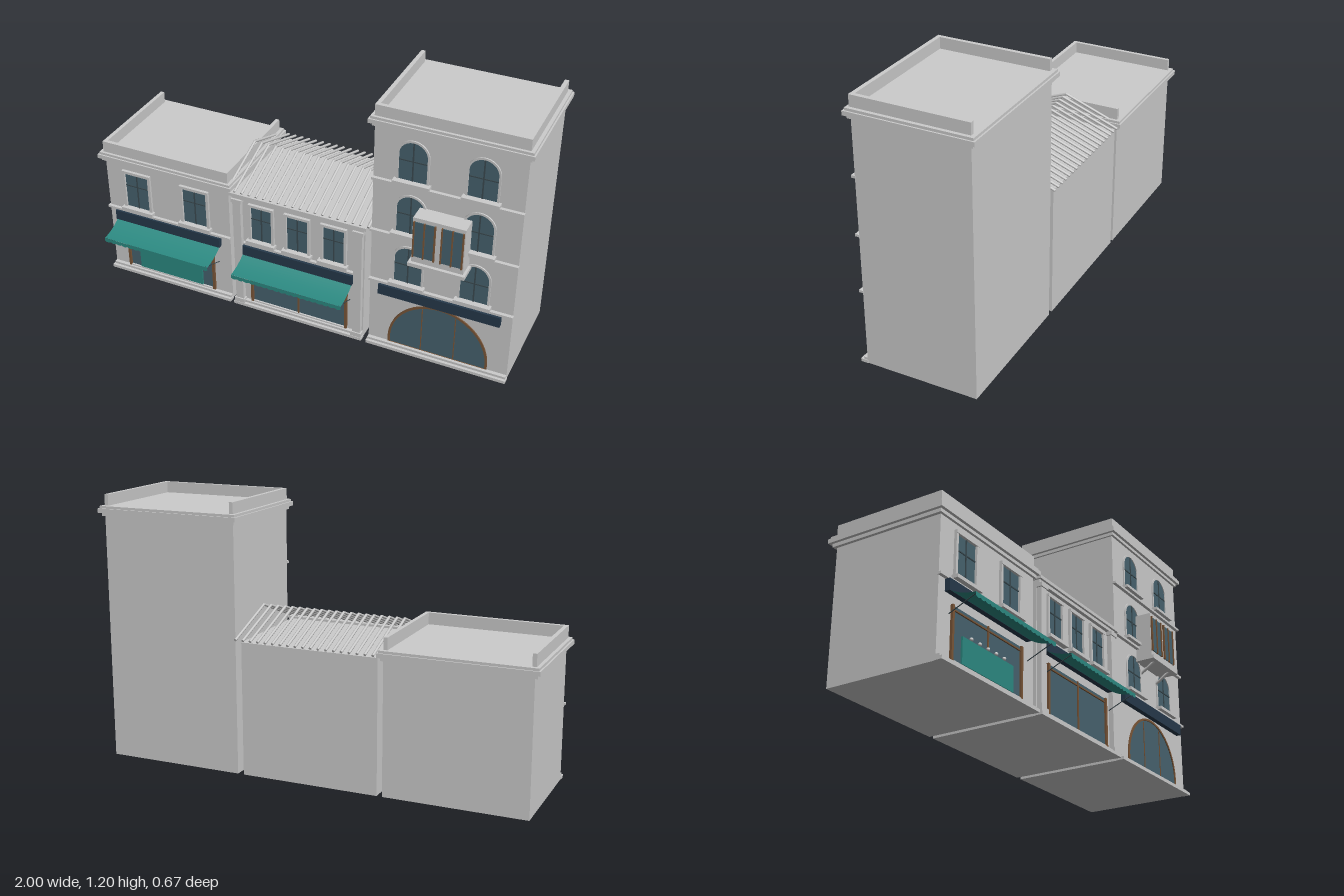
import * as THREE from 'three';

const mat = (color) => new THREE.MeshStandardMaterial({ color, side: THREE.DoubleSide });
const GREY = mat(0xcccccc), GLASS = mat(0x47636f), BAR = mat(0x3a4a50);
const NAVY = mat(0x26394b), TEAL = mat(0x2c8a82), WOOD = mat(0x7a5638);
const BACK = -0.31, WALL = 0.195;

function add(parent, name, geometry, material = GREY) {
  const m = new THREE.Mesh(geometry, material);
  m.name = name;
  parent.add(m);
  return m;
}

// Box given by its limits on each axis
function box(parent, name, x0, x1, y0, y1, z0, z1, material = GREY) {
  const m = add(parent, name, new THREE.BoxGeometry(x1 - x0, y1 - y0, z1 - z0), material);
  m.position.set((x0 + x1) / 2, (y0 + y1) / 2, (z0 + z1) / 2);
  return m;
}

// Round bar between two points
function rod(parent, name, a, b, r, material = GREY, sides = 8) {
  const dir = b.clone().sub(a);
  const m = add(parent, name, new THREE.CylinderGeometry(r, r, dir.length(), sides), material);
  m.position.copy(a).add(b).multiplyScalar(0.5);
  m.quaternion.setFromUnitVectors(new THREE.Vector3(0, 1, 0), dir.normalize());
}

function group(parent, name) {
  const g = new THREE.Group();
  g.name = name;
  parent.add(g);
  return g;
}

// Outline with a half-round top, standing on y0
function archOutline(Type, x, w, y0, spring) {
  const s = new Type();
  s.moveTo(x - w, y0);
  s.lineTo(x + w, y0);
  s.lineTo(x + w, spring);
  s.absarc(x, spring, w, 0, Math.PI, false);
  s.lineTo(x - w, y0);
  return s;
}

function extrude(shape, depth, z) {
  return new THREE.ExtrudeGeometry(shape, { depth, bevelEnabled: false, curveSegments: 20 }).translate(0, 0, z);
}

// Arched glazing with a surround of width t
function archWindow(parent, name, x, w, y0, spring, t, frameMat) {
  const g = group(parent, name);
  add(g, 'glass', extrude(archOutline(THREE.Shape, x, w, y0, spring), 0.003, WALL - 0.001), GLASS);
  const rim = archOutline(THREE.Shape, x, w + t, y0, spring);
  rim.holes.push(archOutline(THREE.Path, x, w, y0, spring));
  add(g, 'surround', extrude(rim, 0.007, WALL - 0.001), frameMat);
  return g;
}

// Rectangular window with surround, glazing bars and sill
function squareWindow(parent, x, w, y0, y1, t) {
  const g = group(parent, 'upperWindow');
  box(g, 'glass', x - w, x + w, y0, y1, WALL - 0.002, WALL + 0.002, GLASS);
  for (const s of [-1, 1]) {
    const c = x + s * (w + t / 2);
    box(g, 'jamb', c - t / 2, c + t / 2, y0, y1, WALL - 0.002, 0.207);
  }
  box(g, 'lintel', x - w - t, x + w + t, y1, y1 + t, WALL - 0.002, 0.209);
  box(g, 'sill', x - w - t - 0.008, x + w + t + 0.008, y0 - 0.015, y0, WALL - 0.002, 0.223);
  box(g, 'mullion', x - 0.003, x + 0.003, y0, y1, WALL, 0.2, BAR);
  box(g, 'transom', x - w, x + w, y0 + (y1 - y0) * 0.62, y0 + (y1 - y0) * 0.62 + 0.005, WALL, 0.2, BAR);
}

// Stepped cornice all round, parapet on the front and two sides
function crown(parent, x0, x1, y, top) {
  const tiers = [[0, 0.015, 0.009], [0.015, 0.034, 0.022], [0.034, 0.045, 0.015]];
  for (const [a, b, o] of tiers) box(parent, 'cornice', x0 - o, x1 + o, y + a, y + b, BACK - o - 0.003, WALL + o + 0.002);
  const base = y + 0.04, t = 0.018;
  box(parent, 'frontParapet', x0, x1, base, top, 0.2 - t, 0.2);
  box(parent, 'sideParapet', x0, x0 + t, base, top, BACK, 0.2 - t);
  box(parent, 'sideParapet', x1 - t, x1, base, top, BACK, 0.2 - t);
}

// Fabric canopy with a sagging top, scalloped valance and side arms
function awning(parent, x0, x1) {
  const g = group(parent, 'awning');
  const curve = new THREE.QuadraticBezierCurve3(
    new THREE.Vector3(0, 0.29, 0.215), new THREE.Vector3(0, 0.257, 0.265), new THREE.Vector3(0, 0.253, 0.331));
  const canopy = new THREE.PlaneGeometry(x1 - x0, 1, 1, 10);
  const p = canopy.attributes.position;
  for (let i = 0; i < p.count; i++) {
    const q = curve.getPoint(0.5 - p.getY(i));
    p.setXYZ(i, p.getX(i) + (x0 + x1) / 2, q.y, q.z);
  }
  canopy.computeVertexNormals();
  add(g, 'canopy', canopy, TEAL);
  const s = new THREE.Shape(), n = 18, step = (x1 - x0) / n;
  s.moveTo(x1, 0.253);
  s.lineTo(x0, 0.253);
  s.lineTo(x0, 0.238);
  for (let i = 0; i < n; i++) s.quadraticCurveTo(x0 + (i + 0.5) * step, 0.227, x0 + (i + 1) * step, 0.238);
  add(g, 'valance', new THREE.ShapeGeometry(s, 4).translate(0, 0, 0.332), TEAL);
  for (const x of [x0 + 0.01, x1 - 0.01])
    rod(g, 'arm', new THREE.Vector3(x, 0.253, 0.329), new THREE.Vector3(x, 0.2, 0.205), 0.002, BAR);
}

// Glazed shop front with wooden posts
function shopfront(parent, x0, x1) {
  const g = group(parent, 'shopfront'), y0 = 0.027, y1 = 0.25;
  box(g, 'shopGlass', x0, x1, y0, y1, WALL - 0.002, WALL + 0.002, GLASS);
  for (const x of [x0, x1]) box(g, 'post', x - 0.006, x + 0.006, y0, y1, WALL - 0.002, 0.206, WOOD);
  box(g, 'centrePost', (x0 + x1) / 2 - 0.003, (x0 + x1) / 2 + 0.003, y0, y1, WALL, 0.203, WOOD);
  box(g, 'head', x0, x1, 0.228, 0.234, WALL, 0.203, WOOD);
  box(g, 'threshold', x0, x1, y0, y0 + 0.006, WALL, 0.205);
}

// Walls, plinth, sign board and string course shared by the three houses
function house(parent, name, x0, x1, h, sx0, sx1) {
  const g = group(parent, name);
  box(g, 'walls', x0, x1, 0, h, BACK, WALL);
  box(g, 'plinth', x0 - 0.003, x1 + 0.003, 0, 0.014, WALL - 0.002, 0.225);
  box(g, 'plinthTop', x0, x1, 0.014, 0.025, WALL - 0.002, 0.212);
  box(g, 'signBoard', sx0, sx1, 0.287, 0.337, WALL - 0.002, 0.218, NAVY);
  return g;
}

export function createModel() {
  const model = new THREE.Group();
  model.name = 'shopRow';

  // Low house with flat roof
  const a = house(model, 'rightHouse', -0.975, -0.342, 0.61, -0.935, -0.39);
  box(a, 'stringCourse', -0.98, -0.34, 0.338, 0.348, WALL - 0.002, 0.21);
  crown(a, -0.98, -0.342, 0.592, 0.69);
  for (const x of [-0.815, -0.515]) squareWindow(a, x, 0.06, 0.37, 0.55, 0.013);
  shopfront(a, -0.89, -0.435);
  awning(a, -0.93, -0.39);
  box(a, 'counter', -0.83, -0.495, 0.035, 0.145, WALL, 0.205, TEAL);
  for (let i = 0; i < 5; i++) {
    const lamp = add(a, 'lamp', new THREE.SphereGeometry(0.008, 10, 8));
    lamp.position.set(-0.77 + i * 0.054, 0.155, 0.201);
  }

  // Middle house with pilasters and an open ribbed roof
  const b = house(model, 'middleHouse', -0.318, 0.312, 0.6, -0.27, 0.262);
  box(b, 'stringCourse', -0.27, 0.265, 0.34, 0.35, WALL - 0.002, 0.21);
  box(b, 'frieze', -0.318, 0.312, 0.58, 0.595, WALL - 0.002, 0.212);
  box(b, 'eaves', -0.325, 0.325, 0.595, 0.61, 0.18, 0.222);
  for (const x of [-0.293, 0.287]) {
    box(b, 'pilaster', x - 0.019, x + 0.019, 0.02, 0.58, WALL - 0.002, 0.217);
    box(b, 'capital', x - 0.025, x + 0.025, 0.562, 0.58, WALL - 0.002, 0.222);
    box(b, 'pilasterBase', x - 0.025, x + 0.025, 0.014, 0.035, WALL - 0.002, 0.223);
  }
  for (const x of [-0.18, -0.005, 0.168]) squareWindow(b, x, 0.05, 0.375, 0.55, 0.012);
  shopfront(b, -0.235, 0.23);
  awning(b, -0.27, 0.262);
  const roof = group(b, 'ribbedRoof');
  for (let i = 0; i < 20; i++) {
    const x = -0.338 + i * 0.0352, ridge = new THREE.Vector3(x, 0.713, -0.058);
    rod(roof, 'roofRib', new THREE.Vector3(x, 0.612, 0.212), ridge, 0.006);
    rod(roof, 'roofRib', new THREE.Vector3(x, 0.612, -0.328), ridge, 0.006);
  }

  // Tall house with arched windows
  const c = house(model, 'leftTower', 0.34, 0.977, 1.12, 0.385, 0.93);
  crown(c, 0.34, 0.977, 1.105, 1.2);
  for (let f = 0; f < 3; f++) {
    const y = 0.37 + f * 0.257;
    box(c, 'stringCourse', 0.337, 0.98, y - 0.03, y - 0.019, WALL - 0.002, 0.211);
    for (const x of [0.51, 0.803]) {
      const g = archWindow(c, 'archedWindow', x, 0.061, y, y + 0.118, 0.009, GREY);
      box(g, 'mullion', x - 0.003, x + 0.003, y, y + 0.178, WALL, 0.2, BAR);
      box(g, 'transom', x - 0.06, x + 0.06, y + 0.09, y + 0.095, WALL, 0.2, BAR);
      box(g, 'sill', x - 0.08, x + 0.08, y - 0.014, y, WALL - 0.002, 0.224);
    }
  }
  const door = archWindow(c, 'shopArch', 0.66, 0.218, 0.027, 0.052, 0.01, WOOD);
  for (const x of [0.585, 0.735]) box(door, 'mullion', x - 0.002, x + 0.002, 0.027, 0.25, WALL, 0.2, WOOD);

  // Projecting bay on brackets
  const bay = group(c, 'bay');
  box(bay, 'bayBox', 0.548, 0.772, 0.55, 0.768, WALL - 0.002, 0.273);
  box(bay, 'baySlab', 0.537, 0.783, 0.533, 0.55, WALL - 0.002, 0.288);
  for (const x of [0.6, 0.72]) {
    box(bay, 'bayGlass', x - 0.045, x + 0.045, 0.58, 0.75, 0.27, 0.277, GLASS);
    for (const d of [-0.045, 0, 0.045]) box(bay, 'bayBar', x + d - 0.003, x + d + 0.003, 0.578, 0.752, 0.27, 0.282, WOOD);
  }
  for (const x of [0.585, 0.735])
    rod(bay, 'bracket', new THREE.Vector3(x, 0.536, 0.267), new THREE.Vector3(x, 0.49, 0.196), 0.007);

  return model;
}
